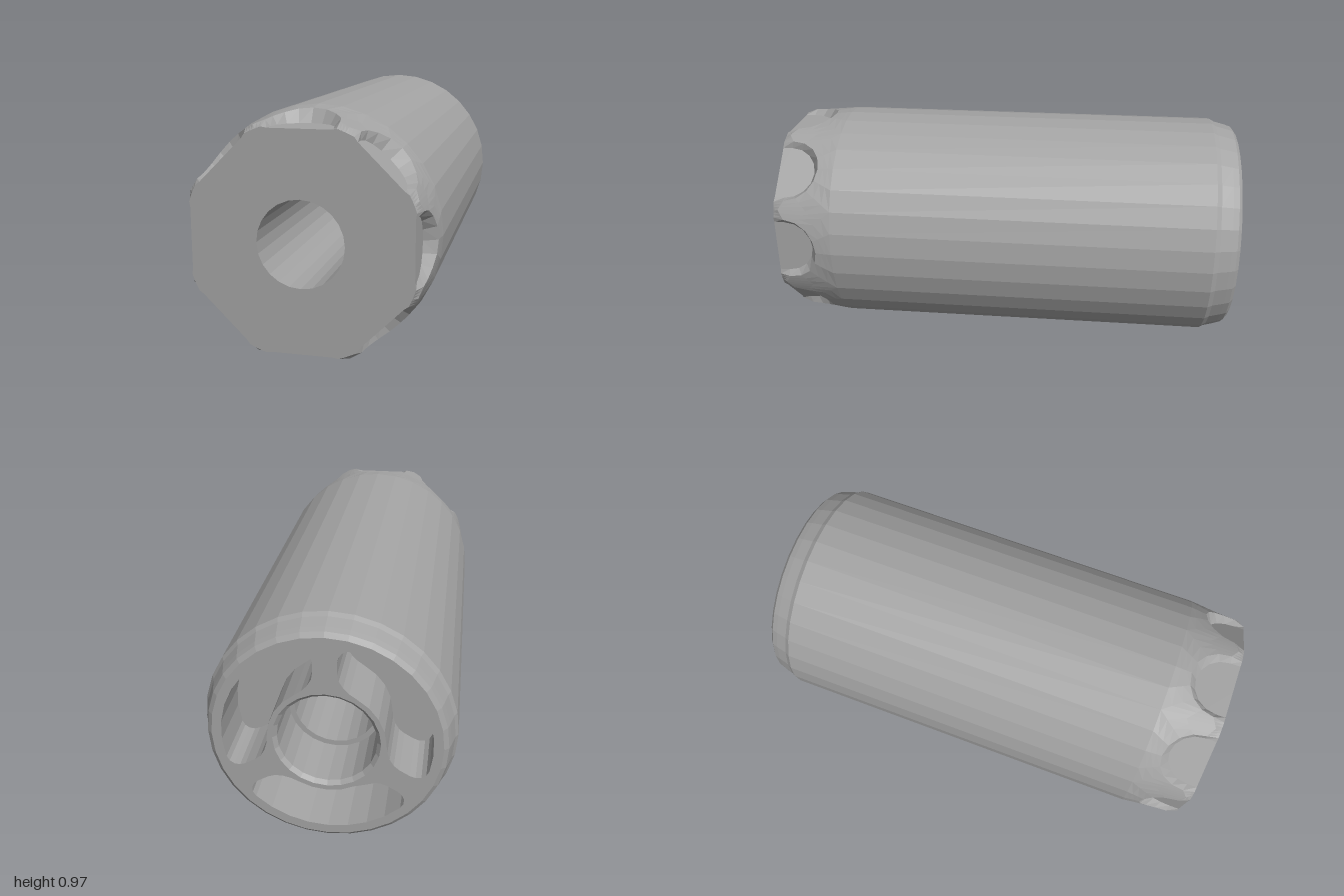
import * as THREE from 'three';

const R = 0.487, BORE = 0.168, SIDES = 32, SECTORS = 8;
const polar = (r, a) => new THREE.Vector2(r * Math.cos(a), r * Math.sin(a));
const ring = (r, n) => Array.from({ length: n }, (_, i) => polar(r, i * 2 * Math.PI / n));

// Faceted surface through successive rows of points
function loft(rows, closed = false) {
  const pos = [];
  const tri = (...p) => p.forEach(v => pos.push(v.x, v.y, v.z));
  for (let j = 0; j + 1 < rows.length; j++) {
    const a = rows[j], b = rows[j + 1], n = a.length;
    for (let i = 0; i < (closed ? n : n - 1); i++) {
      const k = (i + 1) % n;
      if (!a[i].equals(a[k])) tri(a[i], a[k], b[k]);
      tri(a[i], b[k], b[i]);
    }
  }
  const g = new THREE.BufferGeometry();
  g.setAttribute('position', new THREE.Float32BufferAttribute(pos, 3));
  g.computeVertexNormals();
  return g;
}

// Lathe about z from [radius, z] pairs
function turned(profile, sides) {
  const g = new THREE.LatheGeometry(profile.map(p => new THREE.Vector2(...p)), sides).rotateX(Math.PI / 2);
  const flat = g.toNonIndexed();
  flat.computeVertexNormals();
  return flat;
}

// Radius of the tapered front shoulder
const SHOULDER = [[0.74, R], [0.85, 0.474], [0.975, 0.467], [1, 0.45]];
function shoulderRadius(z) {
  for (let i = 1; i < SHOULDER.length; i++) {
    const [z0, r0] = SHOULDER[i - 1], [z1, r1] = SHOULDER[i];
    if (z <= z1) return r0 + (r1 - r0) * (z - z0) / (z1 - z0);
  }
  return 0.45;
}
const onShoulder = ([a, z]) => {
  const r = shoulderRadius(z);
  return new THREE.Vector3(r * Math.sin(a), r * Math.cos(a), z);
};

// U-shaped outline as [u, z], open towards the front
function arch(w, zc) {
  const pts = [[-w, 1]];
  for (let i = 0; i <= 8; i++) {
    const t = i * Math.PI / 8;
    pts.push([-w * Math.cos(t), zc - w * Math.sin(t)]);
  }
  pts.push([w, 1]);
  return pts;
}

// Kidney-shaped pocket outline centred on angle mid
function kidney(mid) {
  const r0 = 0.225, r1 = 0.4, half = [];
  const corner = (rc, rho, from) => {
    for (let i = 0; i <= 4; i++) {
      const f = from + i * Math.PI / 8, r = rc + rho * Math.sin(f);
      half.push([r, Math.PI / 3 - Math.asin((0.045 + rho * (1 - Math.cos(f))) / r)]);
    }
  };
  corner(r0 + 0.07, 0.07, -Math.PI / 2);
  corner(r1 - 0.06, 0.06, 0);
  const a0 = half[0][1], a1 = half[half.length - 1][1];
  half.unshift([r0, a0 / 2]);
  half.push([r1, a1 * 0.75], [r1, a1 * 0.5], [r1, a1 * 0.25]);
  const other = half.map(([r, a]) => [r, -a]);
  // counter-clockwise: outer arc, positive end, inner arc, negative end
  const loop = [...other, [r1, 0], ...half.reverse(), [r0, 0]];
  return loop.map(([r, a]) => polar(r, mid + a));
}

export function createModel() {
  const grey = new THREE.MeshStandardMaterial({ color: 0xa3a3a3 });
  grey.name = 'metal grey';
  const model = new THREE.Group();
  model.name = 'cylinder';
  const core = new THREE.Group();
  core.name = 'core';
  core.position.y = R;
  model.add(core);
  const add = (name, geo, parent = core) => {
    const m = new THREE.Mesh(geo, grey);
    m.name = name;
    parent.add(m);
    return m;
  };

  // Outer barrel with chamfered back rim
  add('barrel', turned([[0.437, -1], [0.455, -0.985], [0.463, -0.96], [0.476, -0.91], [R, -0.89], [R, 0.74]], SIDES));
  // Through bore, widened at the back
  add('bore', turned([[BORE, 1], [BORE, -0.76], [0.19, -0.76], [0.19, -0.985], [0.205, -1]], 24));

  // One front sector: flat notch floor, sloped wall, surrounding shoulder
  const floor = arch(0.118, 0.958).map(([u, z]) => new THREE.Vector3(u, 0.424, z));
  const lip = arch(0.14, 0.95).map(([u, z]) => [Math.asin(u / shoulderRadius(z)), z]);
  const h = Math.PI / SECTORS;
  const side = [1, 0.975, 0.85, 0.74];
  const border = [...side.map(z => [-h, z]), [-h / 2, 0.74], [0, 0.74], [h / 2, 0.74],
    ...side.slice().reverse().map(z => [h, z])];
  const skin = [0, 1 / 3, 2 / 3, 1].map(t => lip.map(([a, z], i) =>
    onShoulder([a + (border[i][0] - a) * t, z + (border[i][1] - z) * t])));
  const hub = floor.map(() => new THREE.Vector3(0, 0.424, 1));
  const floorGeo = loft([hub, floor]), wallGeo = loft([floor, skin[0]]), skinGeo = loft(skin);

  const rim = [];
  for (let k = 0; k < SECTORS; k++) {
    const sector = new THREE.Group();
    sector.name = 'frontSector' + (k + 1);
    sector.rotation.z = -2 * h * k;
    core.add(sector);
    add('notchFloor', floorGeo, sector);
    add('notchWall', wallGeo, sector);
    add('shoulder', skinGeo, sector);
    for (const p of [skin[3][0], skin[0][0], floor[0], floor[10], skin[0][10]])
      rim.push(new THREE.Vector2(p.x, p.y).rotateAround(new THREE.Vector2(), -2 * h * k));
  }

  // Front face, its outline following the notches
  const front = new THREE.Shape(rim);
  front.holes.push(new THREE.Path(ring(BORE, 24)));
  add('frontFace', new THREE.ShapeGeometry(front).translate(0, 0, 1));

  // Back face with three kidney pockets
  const back = new THREE.Group();
  back.name = 'backEnd';
  back.rotation.y = Math.PI;
  core.add(back);
  const face = new THREE.Shape(ring(0.437, SIDES));
  face.holes.push(new THREE.Path(ring(0.205, 24)));
  for (const deg of [30, 150, 270]) {
    const outline = kidney(deg * Math.PI / 180);
    face.holes.push(new THREE.Path(outline));
    const at = z => outline.map(p => new THREE.Vector3(p.x, p.y, z));
    add('pocketWall', loft([at(1), at(0.76)], true), back);
    add('pocketFloor', new THREE.ShapeGeometry(new THREE.Shape(outline)).translate(0, 0, 0.76), back);
  }
  add('backFace', new THREE.ShapeGeometry(face).translate(0, 0, 1), back);
  return model;
}
